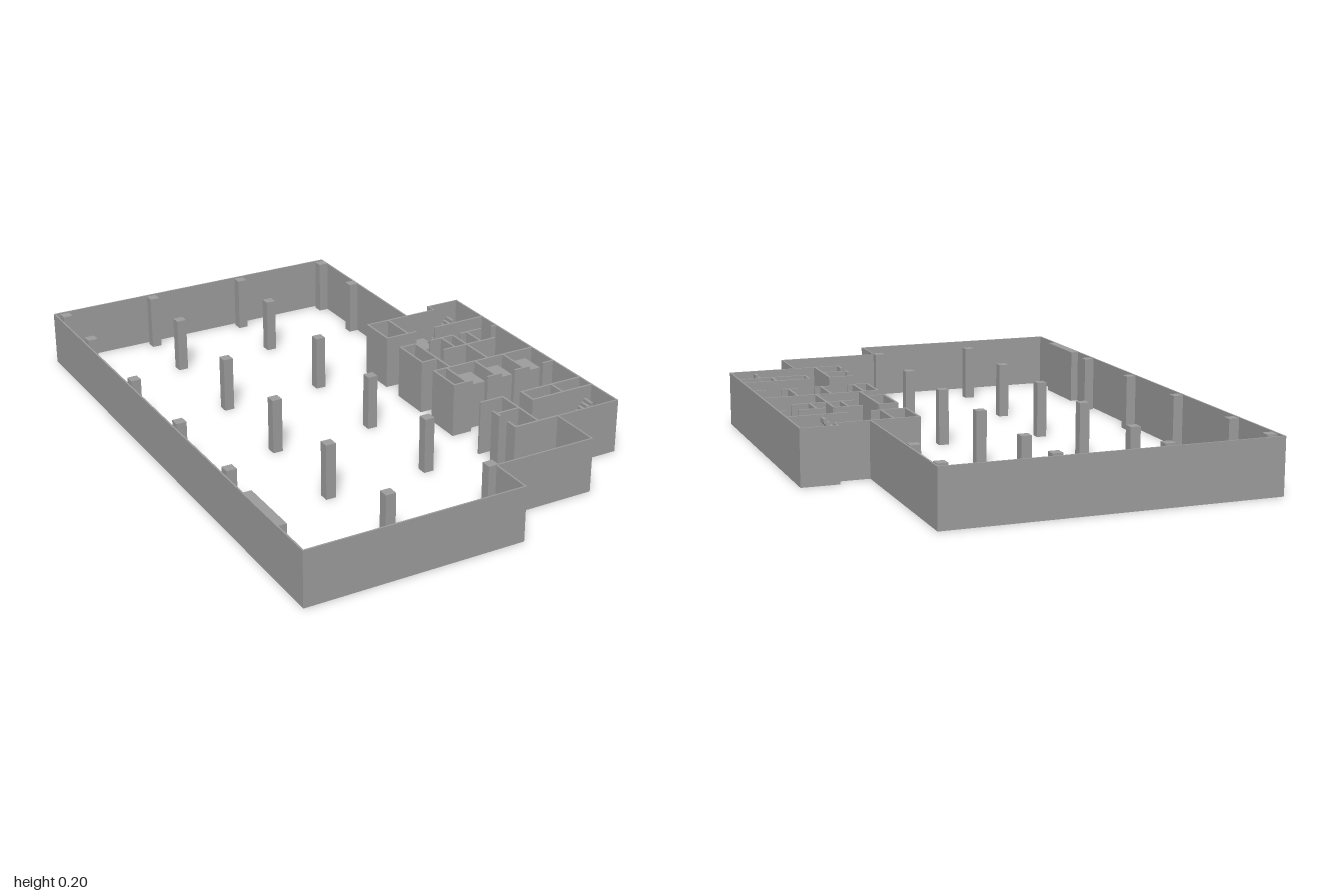
import * as THREE from 'three';

const WALL_H = 0.197, COLUMN_H = 0.2, T = 0.008, OUTER_T = 0.006;
const material = new THREE.MeshStandardMaterial({ color: 0x9d9d9d, flatShading: true });

// Box given by its extents on each axis
function block(parent, name, x0, x1, y0, y1, z0, z1) {
  const mesh = new THREE.Mesh(new THREE.BoxGeometry(x1 - x0, y1 - y0, z1 - z0), material);
  mesh.position.set((x0 + x1) / 2, (y0 + y1) / 2, (z0 + z1) / 2);
  mesh.name = name;
  parent.add(mesh);
}

function group(parent, name) {
  const g = new THREE.Group();
  g.name = name;
  parent.add(g);
  return g;
}

// Outer wall: a closed outline extruded upwards, with a slightly smaller outline cut out
function outerWall() {
  const outline = [
    [-0.704, -1], [0.456, -1], [0.456, -0.33], [0.57, -0.33], [0.57, -0.368], [0.703, -0.368],
    [0.703, 0.649], [0.456, 0.649], [0.456, 0.839], [0.082, 0.839], [0.082, 1], [-0.704, 1],
  ];
  const n = outline.length;
  // Right-angled corners: shift each one along the inward normals of its two edges
  const inner = outline.map(([x, z], i) => {
    const a = outline[(i + n - 1) % n], b = outline[(i + 1) % n];
    const normal = (p, q) => {
      const l = Math.hypot(q[0] - p[0], q[1] - p[1]);
      return [-(q[1] - p[1]) / l, (q[0] - p[0]) / l];
    };
    const u = normal(a, [x, z]), v = normal([x, z], b);
    return [x + (u[0] + v[0]) * OUTER_T, z + (u[1] + v[1]) * OUTER_T];
  });
  // Counter-clockwise order, so that both sides of the wall face outwards
  const toPoints = (list) => list.map(([x, z]) => new THREE.Vector2(x, -z)).reverse();
  const shape = new THREE.Shape(toPoints(outline));
  shape.holes.push(new THREE.Path(toPoints(inner)));
  const geometry = new THREE.ExtrudeGeometry(shape, { depth: WALL_H, bevelEnabled: false });
  geometry.rotateX(-Math.PI / 2);
  const mesh = new THREE.Mesh(geometry, material);
  mesh.name = 'outerWall';
  return mesh;
}

// Stepped flight with a sloping underside, from (x0, y0) to (x1, y1)
function flight(parent, name, x0, y0, x1, y1, z0, z1) {
  const steps = 8, dx = (x1 - x0) / steps, dy = (y1 - y0) / steps;
  const shape = new THREE.Shape();
  shape.moveTo(x0, y0);
  for (let i = 0; i < steps; i++) {
    shape.lineTo(x0 + i * dx, y0 + (i + 1) * dy);
    shape.lineTo(x0 + (i + 1) * dx, y0 + (i + 1) * dy);
  }
  shape.lineTo(x1, y1 - 0.014);
  shape.lineTo(x0 + dx, y0);
  const geometry = new THREE.ExtrudeGeometry(shape, { depth: z1 - z0, bevelEnabled: false });
  const mesh = new THREE.Mesh(geometry, material);
  mesh.position.z = z0;
  mesh.name = name;
  parent.add(mesh);
}

// U-shaped staircase: floor landing, flight up to a half landing, flight back up to the top
function staircase(parent, x, z) {
  const g = group(parent, 'staircase');
  block(g, 'floorLanding', 0.135, 0.205, 0, 0.012, 0, 0.093);
  flight(g, 'lowerFlight', 0.135, 0.006, 0.05, 0.1, 0, 0.041);
  block(g, 'halfLanding', 0, 0.05, 0.088, 0.1, 0, 0.093);
  flight(g, 'upperFlight', 0.05, 0.1, 0.135, 0.194, 0.052, 0.093);
  g.position.set(x, 0, z);
}

export function createModel() {
  const model = new THREE.Group();
  model.name = 'floorPlan';
  model.add(outerWall());

  // Grid of columns
  const columns = group(model, 'columns');
  const xs = [-0.668, -0.312, 0.065, 0.432];
  const rows = [[-0.96, 0, 4], [-0.712, 0, 4], [-0.313, 0, 3], [0.067, 0, 3], [0.444, 0, 3], [0.823, 1, 3]];
  for (const [z, first, end] of rows) {
    for (let i = first; i < end; i++) {
      block(columns, 'column', xs[i] - 0.018, xs[i] + 0.018, 0, COLUMN_H, z - 0.018, z + 0.018);
    }
  }
  block(model, 'wallShaft', -0.7, -0.67, 0, WALL_H, 0.604, 0.839);

  // Inner walls running along x: [z, x start, x end]
  const inner = group(model, 'innerWalls');
  const alongX = [
    [-0.326, 0.28, 0.456], [-0.184, 0.28, 0.408], [-0.184, 0.488, 0.7],
    [-0.09, 0.28, 0.348], [-0.09, 0.408, 0.508], [-0.09, 0.538, 0.633], [-0.09, 0.676, 0.7],
    [0.004, 0.408, 0.633], [0.059, 0.28, 0.348], [0.142, 0.28, 0.7],
    [0.274, 0.28, 0.356], [0.274, 0.418, 0.478], [0.274, 0.533, 0.598], [0.274, 0.655, 0.7],
    [0.434, 0.283, 0.375], [0.434, 0.452, 0.7], [0.503, 0.452, 0.7], [0.532, 0.283, 0.373],
    [0.645, 0.283, 0.456],
  ];
  // Inner walls running along z: [x, z start, z end]
  const alongZ = [
    [0.284, -0.33, -0.18], [0.372, -0.33, -0.184],
    [0.284, -0.094, 0.063], [0.348, -0.09, 0.142], [0.458, -0.09, 0.004], [0.508, -0.09, 0.142], [0.569, -0.09, 0.004],
    [0.282, 0.138, 0.278], [0.333, 0.142, 0.274], [0.453, 0.142, 0.274], [0.573, 0.142, 0.274],
    [0.375, 0.43, 0.645], [0.284, 0.509, 0.554], [0.284, 0.599, 0.649],
    [0.453, 0.43, 0.507], [0.577, 0.434, 0.503],
  ];
  for (const [z, a, b] of alongX) block(inner, 'innerWall', a, b, 0, WALL_H, z - T / 2, z + T / 2);
  for (const [x, a, b] of alongZ) block(inner, 'innerWall', x - T / 2, x + T / 2, 0, WALL_H, a, b);

  // Lift cars
  const lifts = group(model, 'liftCars');
  for (const x of [0.387, 0.503, 0.623]) block(lifts, 'liftCar', x - 0.035, x + 0.035, 0, 0.17, 0.163, 0.255);

  staircase(model, 0.455, -0.304);
  staircase(model, 0.485, 0.525);
  return model;
}
